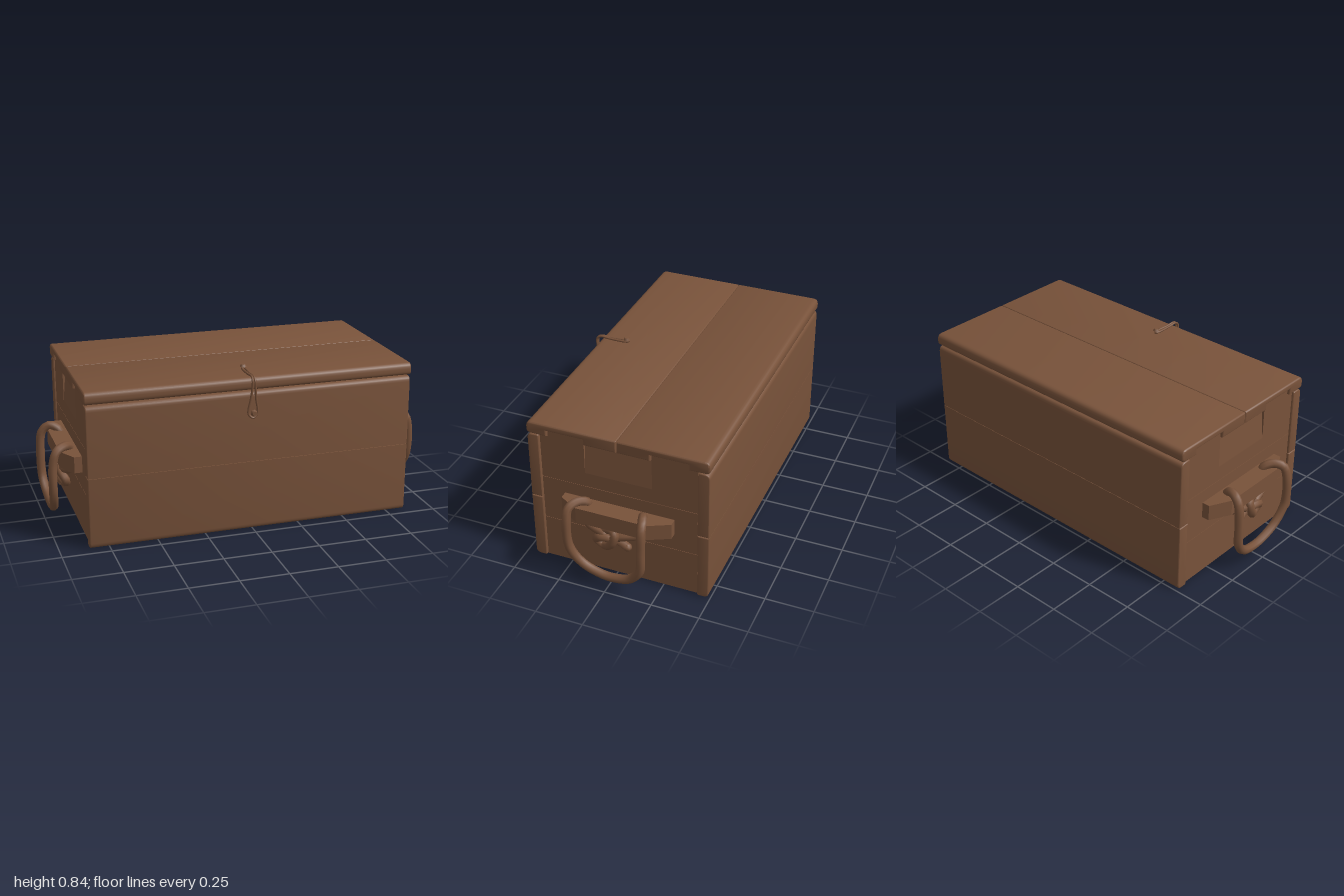
import * as THREE from 'three';
import { toCreasedNormals } from 'three/addons/utils/BufferGeometryUtils.js';

const wood = new THREE.MeshStandardMaterial({ color: 0x78523a });
wood.name = 'brown wood';

const V = (x, y, z) => new THREE.Vector3(x, y, z);

function add(parent, name, geometry, x = 0, y = 0, z = 0) {
  const mesh = new THREE.Mesh(geometry, wood);
  mesh.name = name;
  mesh.position.set(x, y, z);
  parent.add(mesh);
  return mesh;
}

// Outline from [z, y, cornerRadius] points, drawn with -z as the shape's x
function outline(points) {
  const shape = new THREE.Shape();
  const p = points.map(([z, y]) => new THREE.Vector2(-z, y));
  const n = p.length;
  for (let i = 0; i < n; i++) {
    const r = points[i][2] || 0;
    const toward = (q) => p[i].clone().add(q.clone().sub(p[i]).setLength(r));
    const a = r ? toward(p[(i + n - 1) % n]) : p[i];
    const b = r ? toward(p[(i + 1) % n]) : p[i];
    if (i === 0) shape.moveTo(a.x, a.y);
    else shape.lineTo(a.x, a.y);
    if (r) shape.quadraticCurveTo(p[i].x, p[i].y, b.x, b.y);
  }
  shape.closePath();
  return shape;
}

// Board of a given side profile, running along x from x0 to x1
function board(points, x0, x1, bevel = 0) {
  const g = new THREE.ExtrudeGeometry(outline(points), {
    depth: x1 - x0 - 2 * bevel, curveSegments: 5, bevelEnabled: bevel > 0,
    bevelThickness: bevel, bevelSize: bevel, bevelOffset: -bevel, bevelSegments: 3,
  });
  g.translate(0, 0, x0 + bevel);
  g.rotateY(Math.PI / 2);
  return toCreasedNormals(g, 0.6);
}

const rect = (z0, z1, y0, y1) => [[z0, y0], [z1, y0], [z1, y1], [z0, y1]];

function rope(parent, name, points, radius, segments, closed = false) {
  const curve = new THREE.CatmullRomCurve3(points, closed);
  add(parent, name, new THREE.TubeGeometry(curve, segments, radius, 8, closed));
  if (closed) return;
  for (const q of [points[0], points[points.length - 1]])
    add(parent, name + 'End', new THREE.SphereGeometry(radius, 8, 6), q.x, q.y, q.z);
}

// Tapered wooden cleat with a knotted rope handle; s is the side, +1 or -1
function ropeHandle(s) {
  const group = new THREE.Group();
  group.name = s > 0 ? 'leftHandle' : 'rightHandle';

  const plan = new THREE.Shape([
    [0.83, -0.27], [0.88, -0.27], [0.935, -0.17], [0.935, 0.2], [0.88, 0.31], [0.83, 0.31],
  ].map(([x, y]) => new THREE.Vector2(x * s, y)));
  const cleat = new THREE.ExtrudeGeometry(plan, { depth: 0.085, bevelEnabled: false });
  cleat.rotateX(-Math.PI / 2);
  add(group, 'cleat', cleat, 0, 0.345, 0);

  const side = (pts) => pts.map(([x, y, z]) => V(x * s, y, z));
  rope(group, 'ropeLoop', side([
    [0.9, 0.29, 0.04], [0.88, 0.32, 0.13], [0.87, 0.38, 0.135], [0.875, 0.435, 0.13],
    [0.91, 0.455, 0.165], [0.955, 0.44, 0.195], [0.975, 0.38, 0.2], [0.978, 0.22, 0.19],
    [0.968, 0.13, 0.13], [0.962, 0.085, 0.04], [0.96, 0.076, -0.03], [0.965, 0.1, -0.12],
    [0.975, 0.17, -0.18], [0.978, 0.3, -0.19], [0.965, 0.42, -0.19], [0.925, 0.455, -0.18],
    [0.875, 0.43, -0.16], [0.87, 0.37, -0.15], [0.88, 0.32, -0.14], [0.9, 0.297, -0.06],
    [0.905, 0.275, 0],
  ]), 0.023, 90);
  rope(group, 'ropeKnot', side([
    [0.885, 0.3, 0.05], [0.9, 0.32, 0], [0.92, 0.315, -0.03], [0.925, 0.27, -0.02],
    [0.91, 0.228, 0.01], [0.89, 0.213, 0.05], [0.895, 0.24, 0.08], [0.912, 0.27, 0.055],
    [0.91, 0.275, 0.01], [0.895, 0.26, -0.04], [0.905, 0.245, -0.09],
  ]), 0.022, 60);
  return group;
}

// End wall of three boards; the top one has two tenons and a sloped recess between them
function endWall(s) {
  const group = new THREE.Group();
  group.name = s > 0 ? 'leftEnd' : 'rightEnd';
  const span = (a, b) => (s > 0 ? [a, b] : [-b, -a]);
  const x = span(0.78, 0.84);
  add(group, 'lowerEndBoard', board(rect(0.388, -0.428, 0.01, 0.249), ...x));
  add(group, 'middleEndBoard', board(rect(0.388, -0.428, 0.251, 0.499), ...x));
  add(group, 'upperEndBoard', board(rect(0.388, -0.428, 0.501, 0.58), ...x));
  add(group, 'frontTenon', board([
    [0.388, 0.58], [0.155, 0.58], [0.155, 0.78], [0.345, 0.78], [0.345, 0.745], [0.388, 0.745],
  ], ...x));
  add(group, 'backTenon', board([
    [-0.195, 0.58], [-0.428, 0.58], [-0.428, 0.745], [-0.385, 0.745], [-0.385, 0.78], [-0.195, 0.78],
  ], ...x));
  const wedge = new THREE.Shape([
    [0.78, 0.58], [0.84, 0.58], [0.822, 0.76], [0.78, 0.76],
  ].map(([px, py]) => new THREE.Vector2(px * s, py)));
  add(group, 'slopedRecess',
    new THREE.ExtrudeGeometry(wedge, { depth: 0.35, bevelEnabled: false }), 0, 0, -0.195);
  return group;
}

// Cord loop hooked over a pin on the lid and a pin on the front
function cordLatch() {
  const group = new THREE.Group();
  group.name = 'latch';
  const x = -0.008;
  const half = [
    [0.007, 0.824, 0.31], [0.006, 0.822, 0.4], [0.005, 0.824, 0.455], [0.006, 0.81, 0.475],
    [0.008, 0.77, 0.476], [0.014, 0.71, 0.469], [0.024, 0.655, 0.464], [0.022, 0.63, 0.463],
  ];
  const loop = [
    V(x, 0.826, 0.295),
    ...half.map(([w, y, z]) => V(x + w, y, z)),
    V(x, 0.612, 0.465),
    ...half.slice().reverse().map(([w, y, z]) => V(x - w, y, z)),
  ];
  rope(group, 'cordLoop', loop, 0.006, 90, true);

  const pin = (name, y, z, tilt) => {
    const g = new THREE.Group();
    g.name = name;
    add(g, 'shank', new THREE.CylinderGeometry(0.007, 0.007, 0.04, 8), 0, 0.015, 0);
    add(g, 'head', new THREE.CylinderGeometry(0.012, 0.018, 0.012, 6), 0, 0.031, 0);
    g.position.set(x, y, z);
    g.rotation.x = tilt;
    group.add(g);
  };
  pin('lidPin', 0.808, 0.305, 0);
  pin('frontPin', 0.642, 0.455, Math.PI / 2);
  return group;
}

export function createModel() {
  const chest = new THREE.Group();
  chest.name = 'chest';
  const r = 0.028;

  // Front and back walls, two boards each, rounded on the outer edges
  for (const [name, outer, inner] of [['front', 0.452, 0.392], ['back', -0.49, -0.43]]) {
    add(chest, name + 'LowerBoard', board(
      outer > 0
        ? [[outer, 0.004, r], [inner, 0.004, 0.008], [inner, 0.374], [outer, 0.374]]
        : [[inner, 0.004, 0.008], [outer, 0.004, r], [outer, 0.374], [inner, 0.374]],
      -0.85, 0.85, 0.006));
    add(chest, name + 'UpperBoard', board(
      outer > 0
        ? [[outer, 0.376], [inner, 0.376], [inner, 0.745, 0.008], [outer, 0.745, r]]
        : [[inner, 0.376], [outer, 0.376], [outer, 0.745, r], [inner, 0.745, 0.008]],
      -0.85, 0.85, 0.006));
  }

  // Lid of two boards, notched underneath for the end tenons
  add(chest, 'lidFrontBoard', board([
    [0.453, 0.752, 0.022], [0.347, 0.75], [0.347, 0.782], [0.153, 0.782], [0.153, 0.75],
    [-0.019, 0.75], [-0.019, 0.816, 0.006], [0.453, 0.816, 0.03],
  ], -0.855, 0.855, 0.009));
  add(chest, 'lidBackBoard', board([
    [-0.021, 0.75], [-0.193, 0.75], [-0.193, 0.782], [-0.387, 0.782], [-0.387, 0.75],
    [-0.492, 0.752, 0.022], [-0.492, 0.816, 0.03], [-0.021, 0.816, 0.006],
  ], -0.855, 0.855, 0.009));

  // Base and ends
  add(chest, 'base', new THREE.BoxGeometry(1.66, 0.04, 0.83), 0, 0.034, -0.02);
  for (const s of [1, -1]) chest.add(endWall(s), ropeHandle(s));

  chest.add(cordLatch());
  chest.position.y = -0.004;
  const model = new THREE.Group();
  model.name = 'ropeHandledChest';
  model.add(chest);
  return model;
}
